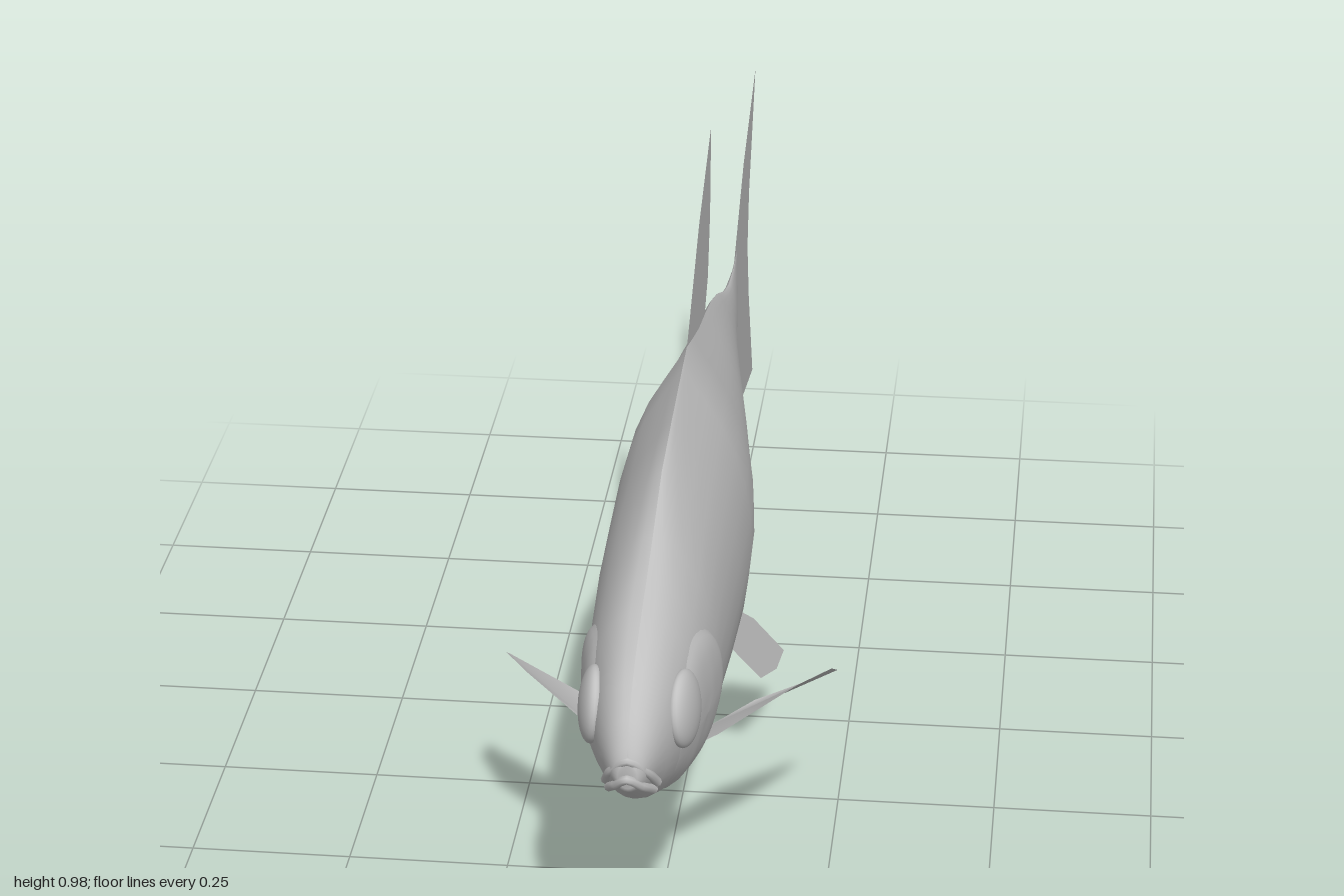
import * as THREE from 'three';

// body sections: z, bottom y, top y, half width, roundness (0 = ridged back, 1 = oval)
const SECTIONS = [
  [0.99, 0.455, 0.495, 0.014, 1], [0.982, 0.445, 0.518, 0.024, 1],
  [0.96, 0.43, 0.55, 0.038, 1], [0.92, 0.397, 0.585, 0.053, 1],
  [0.875, 0.37, 0.61, 0.066, 1], [0.8, 0.333, 0.637, 0.082, 0.9],
  [0.74, 0.315, 0.655, 0.09, 0.8], [0.66, 0.294, 0.683, 0.096, 0.6],
  [0.54, 0.273, 0.728, 0.102, 0.3], [0.4, 0.26, 0.745, 0.106, 0.1],
  [0.25, 0.249, 0.76, 0.109, 0], [0.185, 0.247, 0.765, 0.107, 0],
  [0.09, 0.247, 0.737, 0.098, 0], [0, 0.26, 0.712, 0.085, 0],
  [-0.1, 0.295, 0.693, 0.07, 0], [-0.2, 0.337, 0.67, 0.053, 0.1],
  [-0.31, 0.38, 0.633, 0.036, 0.3], [-0.42, 0.42, 0.587, 0.022, 0.6],
  [-0.5, 0.42, 0.564, 0.015, 0.8], [-0.58, 0.4, 0.557, 0.008, 0.8],
  [-0.65, 0.385, 0.56, 0.0005, 1],
];
// ridged outline: height fraction, width fraction
const RIDGED = [[0, 0], [0.03, 0.38], [0.08, 0.68], [0.2, 0.9], [0.4, 1], [0.55, 0.96],
  [0.68, 0.83], [0.82, 0.54], [1, 0]];

function lerpRows(rows, v) {
  const up = rows[1][0] > rows[0][0];
  let i = 0;
  while (i < rows.length - 2 && (up ? v > rows[i + 1][0] : v < rows[i + 1][0])) i++;
  const a = rows[i], b = rows[i + 1];
  const k = THREE.MathUtils.clamp((v - a[0]) / (b[0] - a[0]), 0, 1);
  return a.map((n, j) => n + (b[j] - n) * k);
}

// half width of the body at a given z and y
function bodyX(z, y) {
  const [, bottom, top, w, round] = lerpRows(SECTIONS, z);
  const t = THREE.MathUtils.clamp((y - bottom) / (top - bottom), 0, 1);
  const oval = 2 * Math.sqrt(t * (1 - t));
  return w * (lerpRows(RIDGED, t)[1] * (1 - round) + oval * round);
}

function makeGeometry(points, index) {
  const g = new THREE.BufferGeometry();
  g.setAttribute('position', new THREE.Float32BufferAttribute(points, 3));
  g.setIndex(index);
  g.computeVertexNormals();
  return g;
}

// skin over the sections, open along the back so the ridge stays sharp
function bodyGeometry() {
  const points = [], index = [], half = 14, n = 2 * half + 1;
  SECTIONS.forEach(([z, bottom, top]) => {
    for (let i = 0; i < n; i++) {
      const t = 0.5 + 0.5 * Math.cos((i / half) * Math.PI);
      const y = bottom + (top - bottom) * t;
      points.push((i < half ? 1 : -1) * bodyX(z, y), y, z);
    }
  });
  for (let r = 0; r < SECTIONS.length - 1; r++) {
    for (let i = 0; i < n - 1; i++) {
      const a = r * n + i, b = a + 1, c = a + n, d = c + 1;
      index.push(a, b, c, b, d, c);
    }
  }
  for (let i = 1; i < n - 1; i++) index.push(0, i + 1, i);
  return makeGeometry(points, index);
}

// rounded plate that follows the cheek and stands proud at its rear edge
function gillGeometry(side) {
  const points = [], index = [], rings = 8, n = 36;
  for (let r = 0; r <= rings; r++) {
    const rho = Math.pow(r / rings, 0.7);
    for (let i = 0; i <= n; i++) {
      const a = (i / n) * Math.PI * 2;
      const dz = Math.cos(a) * rho, dy = Math.sin(a) * rho;
      const z = 0.765 + 0.12 * dz, y = 0.455 + 0.125 * dy;
      const lift = 0.012 * (0.55 - 0.45 * dz) * (1 - Math.pow(rho, 10)) - 0.003 * Math.pow(rho, 10);
      points.push(side * (bodyX(z, y) + lift), y, z);
    }
  }
  for (let r = 0; r < rings; r++) {
    for (let i = 0; i < n; i++) {
      const a = r * (n + 1) + i, b = a + 1, c = a + n + 1, d = c + 1;
      if (side > 0) index.push(a, b, c, b, d, c);
      else index.push(a, c, b, b, c, d);
    }
  }
  return makeGeometry(points, index);
}

// thin fin from an outline of [x, y, z], triangulated in the plane of two axes
function finGeometry(outline, u, v) {
  const flat = outline.map((p) => new THREE.Vector2(p[u], p[v]));
  const faces = THREE.ShapeUtils.triangulateShape(flat, []);
  return makeGeometry(outline.flat(), faces.flat()).toNonIndexed();
}

export function createModel() {
  const group = new THREE.Group();
  group.name = 'fish';
  const skin = new THREE.MeshStandardMaterial({ color: 0xc0c0c0 });
  skin.name = 'grey skin';
  const finSkin = skin;
  finSkin.side = THREE.DoubleSide;
  const add = (name, geometry) => {
    const mesh = new THREE.Mesh(geometry, skin);
    mesh.name = name;
    group.add(mesh);
    return mesh;
  };

  add('body', bodyGeometry());

  // lips
  const lip = (name, pts, radius) => add(name, new THREE.TubeGeometry(
    new THREE.CatmullRomCurve3(pts.map((p) => new THREE.Vector3(...p))), 20, radius, 8));
  lip('upperLip', [[-0.037, 0.44, 0.942], [-0.024, 0.475, 0.973], [0, 0.498, 0.986],
    [0.024, 0.475, 0.973], [0.037, 0.44, 0.942]], 0.007);
  lip('lowerLip', [[-0.032, 0.43, 0.945], [-0.018, 0.454, 0.978], [0, 0.472, 0.993],
    [0.018, 0.454, 0.978], [0.032, 0.43, 0.945]], 0.007);

  // fins on the centre line: [z, y]
  const centreFins = {
    dorsalFin: [[0.185, 0.763], [0, 0.89], [-0.19, 0.98], [-0.175, 0.835], [-0.14, 0.74],
      [-0.095, 0.7], [-0.02, 0.69], [0.08, 0.71]],
    tailFin: [[-0.5, 0.56], [-0.59, 0.557], [-0.77, 0.675], [-0.995, 0.765], [-0.88, 0.575],
      [-0.855, 0.48], [-0.885, 0.37], [-0.97, 0.18], [-0.77, 0.22], [-0.62, 0.355], [-0.5, 0.425]],
    analFin: [[0, 0.27], [-0.07, 0.08], [-0.15, 0.005], [-0.25, 0.06], [-0.34, 0.165],
      [-0.405, 0.29], [-0.425, 0.39], [-0.415, 0.43], [-0.2, 0.36]],
  };
  for (const [name, outline] of Object.entries(centreFins)) {
    add(name, finGeometry(outline.map(([z, y]) => [0, y, z]), 2, 1));
  }

  // paired parts
  const pectoral = [[0.06, 0.335, 0.66], [0.095, 0.35, 0.648], [0.205, 0.39, 0.56],
    [0.25, 0.365, 0.46], [0.255, 0.326, 0.395], [0.135, 0.32, 0.49], [0.07, 0.315, 0.57]];
  const pelvic = [[0.26, 0.285], [0.195, 0.19], [0.1, 0.155], [0.02, 0.145], [0.08, 0.235], [0.14, 0.285]]
    .map(([z, y]) => [0.072 + (0.285 - y) * 0.5, y, z]);
  for (const side of [1, -1]) {
    const label = side > 0 ? 'left' : 'right';
    const flip = (outline) => outline.map(([x, y, z]) => [x * side, y, z]);
    add(label + 'PectoralFin', finGeometry(flip(pectoral), 0, 2));
    add(label + 'PelvicFin', finGeometry(flip(pelvic), 2, 1));
    add(label + 'GillCover', gillGeometry(side));
    const eye = add(label + 'Eye', new THREE.SphereGeometry(0.057, 28, 18));
    eye.scale.x = 0.36;
    eye.position.set(side * 0.066, 0.512, 0.855);
    eye.rotation.set(0, -side * 0.15, side * 0.1);
  }
  return group;
}
